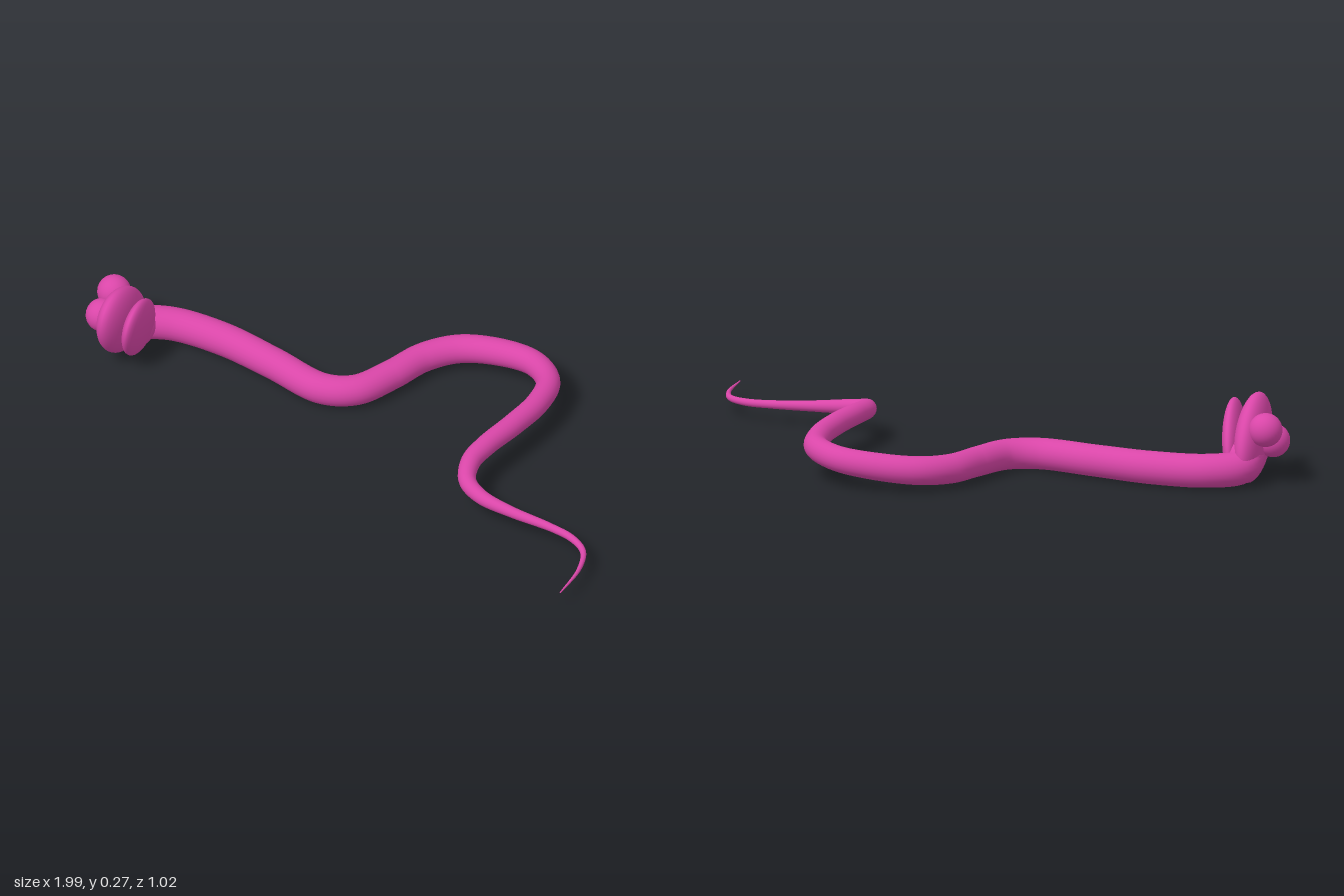
import * as THREE from 'three';

const material = new THREE.MeshStandardMaterial({ color: 0xd946a8 });

// Body centre line and radius: x, y, z, r from neck to tail tip
const spine = [
  [-0.88, 0.09, 0.02, 0.05], [-0.87, 0.066, -0.05, 0.055], [-0.78, 0.06, -0.103, 0.054],
  [-0.6, 0.058, -0.115, 0.053], [-0.4, 0.057, -0.085, 0.051], [-0.2, 0.055, -0.05, 0.05],
  [-0.105, 0.056, -0.095, 0.049], [-0.045, 0.058, -0.22, 0.048], [0.0, 0.062, -0.345, 0.047],
  [0.08, 0.07, -0.43, 0.046], [0.21, 0.082, -0.466, 0.044], [0.34, 0.094, -0.455, 0.041],
  [0.435, 0.104, -0.38, 0.039], [0.465, 0.11, -0.26, 0.037], [0.458, 0.115, -0.12, 0.036],
  [0.438, 0.115, 0.02, 0.034], [0.434, 0.108, 0.11, 0.032], [0.465, 0.092, 0.185, 0.028],
  [0.535, 0.08, 0.222, 0.024], [0.65, 0.07, 0.232, 0.018], [0.8, 0.063, 0.233, 0.013],
  [0.88, 0.06, 0.245, 0.012], [0.945, 0.058, 0.285, 0.01], [0.98, 0.056, 0.37, 0.007],
  [0.99, 0.055, 0.51, 0.002],
];

// Tube whose rings are scaled to a radius that varies along the curve
function taperedTube(points, rings, sides) {
  const curve = new THREE.CatmullRomCurve3(points.map(([x, y, z]) => new THREE.Vector3(x, y, z)));
  const geometry = new THREE.TubeGeometry(curve, rings, 1, sides);
  const position = geometry.attributes.position;
  const vertex = new THREE.Vector3();
  for (let i = 0; i <= rings; i++) {
    const centre = curve.getPointAt(i / rings);
    const k = curve.getUtoTmapping(i / rings) * (points.length - 1);
    const a = Math.min(Math.floor(k), points.length - 2);
    const radius = THREE.MathUtils.lerp(points[a][3], points[a + 1][3], k - a);
    for (let j = 0; j <= sides; j++) {
      const n = i * (sides + 1) + j;
      vertex.fromBufferAttribute(position, n).sub(centre).multiplyScalar(radius).add(centre);
      position.setXYZ(n, vertex.x, vertex.y, vertex.z);
    }
  }
  return geometry;
}

function ellipsoid(name, position, radii) {
  const mesh = new THREE.Mesh(new THREE.SphereGeometry(1, 32, 24), material);
  mesh.name = name;
  mesh.position.set(...position);
  mesh.scale.set(...radii);
  return mesh;
}

export function createModel() {
  const model = new THREE.Group();
  model.name = 'snake';

  const body = new THREE.Mesh(taperedTube(spine, 220, 24), material);
  body.name = 'body';
  model.add(body);

  // Head lies on its side, pointing forward and up, jaws slightly open
  const head = new THREE.Group();
  head.name = 'head';
  head.position.set(-0.88, 0.14, 0.05);
  head.rotation.x = -0.71;
  const upperJaw = ellipsoid('upperJaw', [0, 0, 0], [0.05, 0.11, 0.16]);
  upperJaw.rotation.y = 0.04;
  const lowerJaw = ellipsoid('lowerJaw', [0.063, -0.005, -0.005], [0.033, 0.095, 0.145]);
  lowerJaw.rotation.y = 0.18;
  head.add(upperJaw, lowerJaw);
  model.add(head);

  // Back of the skull joining the jaws to the neck
  model.add(ellipsoid('skull', [-0.865, 0.08, -0.01], [0.065, 0.07, 0.075]));

  // Eyes
  model.add(ellipsoid('leftEye', [-0.943, 0.185, -0.015], [0.054, 0.054, 0.054]));
  model.add(ellipsoid('rightEye', [-0.946, 0.135, 0.053], [0.054, 0.054, 0.054]));

  return model;
}
